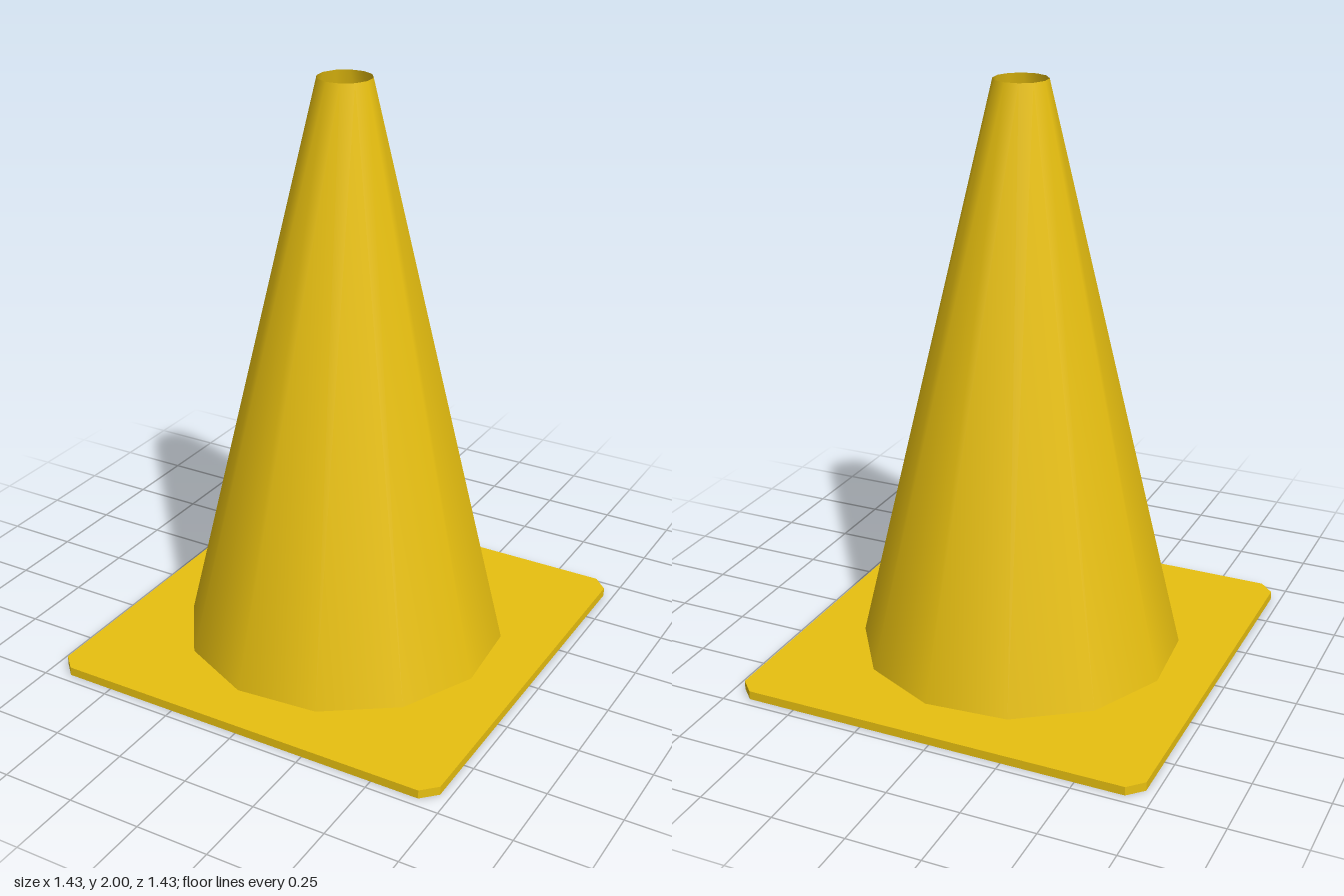
import * as THREE from 'three';

const SIDES = 12;
const TURN = -0.18; // twist of the cone's facets about y
const BOTTOM_R = 0.555;
const TOP_R = 0.09;
const HEIGHT = 2;
const BASE_T = 0.03;
const HALF = 0.717;
const CUT = 0.05;

export function createModel() {
  const group = new THREE.Group();
  group.name = 'trafficCone';
  const material = new THREE.MeshStandardMaterial({ color: 0xe8c010, side: THREE.DoubleSide });

  // Square base plate with clipped corners and a polygonal opening
  const inner = HALF - CUT;
  const plate = new THREE.Shape([
    [inner, -HALF], [HALF, -inner], [HALF, inner], [inner, HALF],
    [-inner, HALF], [-HALF, inner], [-HALF, -inner], [-inner, -HALF],
  ].map(([x, y]) => new THREE.Vector2(x, y)));
  const opening = [];
  for (let i = 0; i < SIDES; i++) {
    const a = TURN + (i / SIDES) * Math.PI * 2;
    opening.push(new THREE.Vector2(Math.sin(a) * BOTTOM_R, -Math.cos(a) * BOTTOM_R));
  }
  plate.holes.push(new THREE.Path(opening));
  const baseGeometry = new THREE.ExtrudeGeometry(plate, { depth: BASE_T, bevelEnabled: false });
  baseGeometry.rotateX(-Math.PI / 2);
  const base = new THREE.Mesh(baseGeometry, material);
  base.name = 'base';
  group.add(base);

  // Thin hollow cone, open at both ends
  const bodyHeight = HEIGHT - BASE_T;
  const body = new THREE.Mesh(
    new THREE.CylinderGeometry(TOP_R, BOTTOM_R, bodyHeight, SIDES, 1, true, TURN),
    material,
  );
  body.position.y = BASE_T + bodyHeight / 2;
  body.name = 'coneBody';
  group.add(body);

  return group;
}
